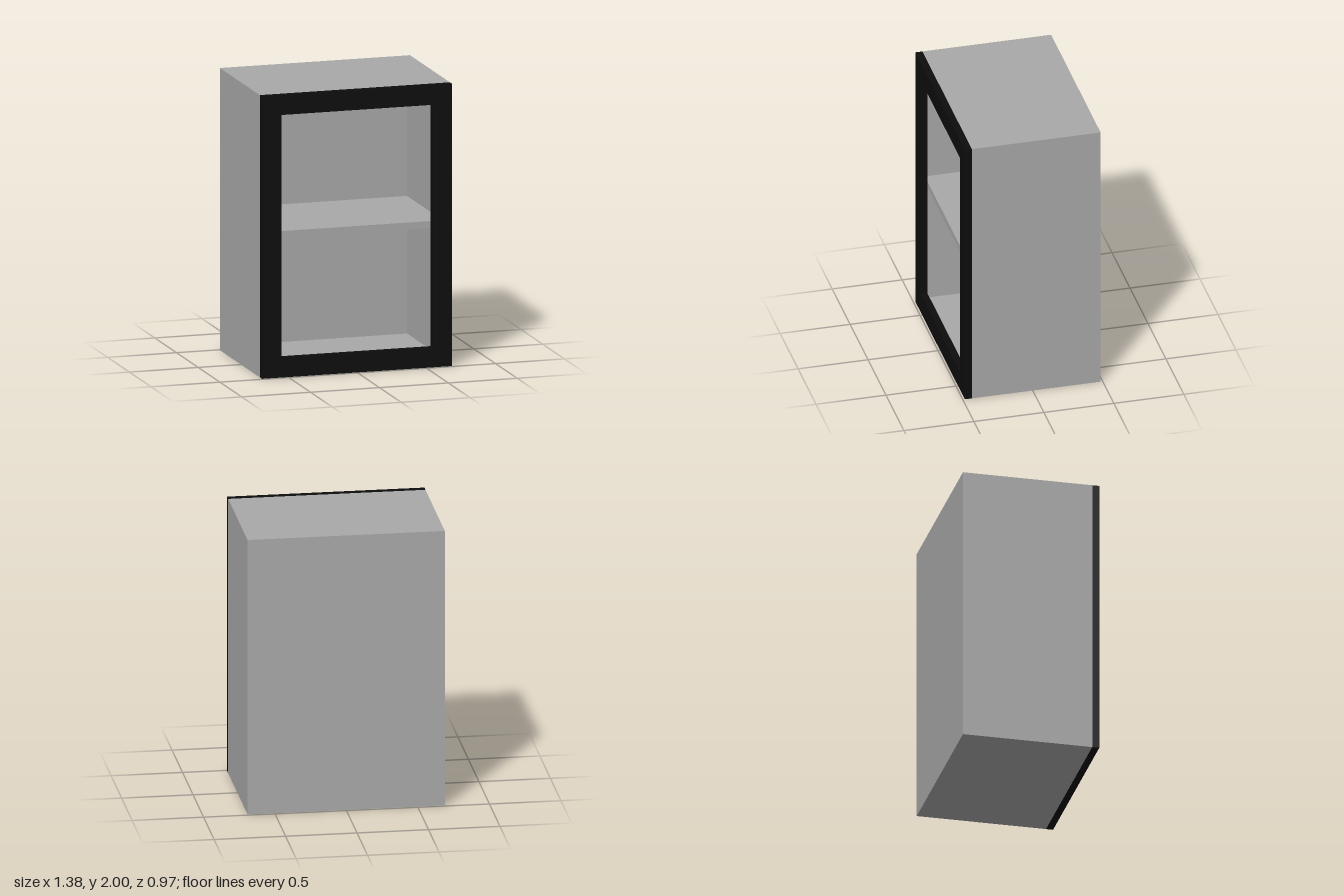
import * as THREE from 'three';

const W = 1.38, H = 2;
const BACK = -0.485, BODY_FRONT = 0.435, FRONT = 0.485;
const WALL = 0.05, BACK_WALL = 0.09, RAIL = 0.14;

const panelGrey = new THREE.MeshStandardMaterial({ color: 0xa9a9a9 });
panelGrey.name = 'panelGrey';
const frameBlack = new THREE.MeshStandardMaterial({ color: 0x0d0d0d });
frameBlack.name = 'frameBlack';

// Rectangular ring standing on y = 0, extruded from z0 to z1
function ring(name, border, z0, z1, material) {
  const rect = (Type, inset) => new Type([
    new THREE.Vector2(-W / 2 + inset, inset),
    new THREE.Vector2(W / 2 - inset, inset),
    new THREE.Vector2(W / 2 - inset, H - inset),
    new THREE.Vector2(-W / 2 + inset, H - inset),
  ]);
  const shape = rect(THREE.Shape, 0);
  shape.holes.push(rect(THREE.Path, border));
  const geometry = new THREE.ExtrudeGeometry(shape, { depth: z1 - z0, bevelEnabled: false });
  geometry.translate(0, 0, z0);
  const mesh = new THREE.Mesh(geometry, material);
  mesh.name = name;
  return mesh;
}

function box(name, w, h, y, z0, z1, material) {
  const mesh = new THREE.Mesh(new THREE.BoxGeometry(w, h, z1 - z0), material);
  mesh.position.set(0, y, (z0 + z1) / 2);
  mesh.name = name;
  return mesh;
}

export function createModel() {
  const cabinet = new THREE.Group();
  cabinet.name = 'cabinet';
  const innerBack = BACK + BACK_WALL;

  cabinet.add(
    // Sides, top and bottom in one carcass
    ring('carcass', WALL, BACK, BODY_FRONT, panelGrey),
    // Back panel between the sides
    box('backPanel', W - 2 * WALL, H - 2 * WALL, H / 2, BACK, innerBack, panelGrey),
    // Middle shelf
    box('shelf', W - 2 * WALL, 0.05, H / 2, innerBack, BODY_FRONT - 0.005, panelGrey),
    // Open door frame
    ring('doorFrame', RAIL, BODY_FRONT, FRONT, frameBlack),
  );
  return cabinet;
}
